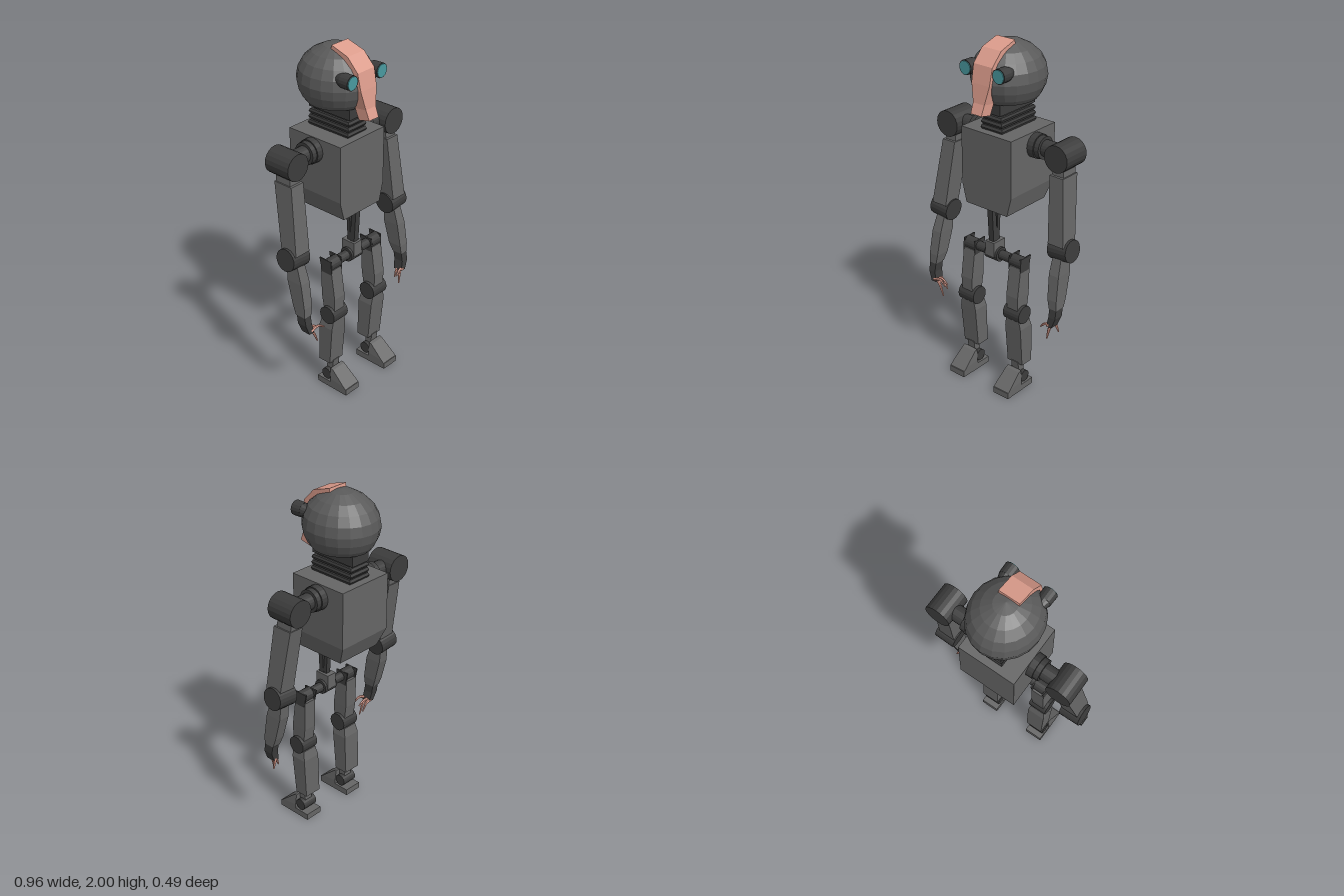
import * as THREE from 'three';

const LIMB = 0x666666, DARK = 0x3c3c3c, HEAD = 0x5a5a5a, PINK = 0xdc9c8c, TEAL = 0x4a9aa0;

export function createModel() {
  const root = new THREE.Group();
  root.name = 'robot';

  const add = (name, geo, color, parent = root) => {
    const mat = new THREE.MeshStandardMaterial({ color, flatShading: true });
    const mesh = new THREE.Mesh(geo, mat);
    mesh.name = name;
    parent.add(mesh);
    return mesh;
  };
  const group = (name) => {
    const g = new THREE.Group();
    g.name = name;
    root.add(g);
    return g;
  };
  const box = (name, w, h, d, x, y, z, color, parent) => {
    const m = add(name, new THREE.BoxGeometry(w, h, d), color, parent);
    m.position.set(x, y, z);
    return m;
  };
  // cylinder lying along the x, y or z axis
  const cyl = (name, r, len, axis, x, y, z, color, parent, sides = 20, r2 = r) => {
    const m = add(name, new THREE.CylinderGeometry(r, r2, len, sides), color, parent);
    if (axis === 'x') m.rotation.z = Math.PI / 2;
    if (axis === 'z') m.rotation.x = Math.PI / 2;
    m.position.set(x, y, z);
    return m;
  };
  // box skinned over sections, lowest first: [centre x, width, front y, front z, back y, back z]
  const skin = (name, sections, color, parent) => {
    const n = sections.length - 1;
    const geo = new THREE.BoxGeometry(1, 1, 1, 1, n, 1);
    const p = geo.attributes.position;
    for (let i = 0; i < p.count; i++) {
      const [cx, w, yf, zf, yb, zb] = sections[Math.round((p.getY(i) + 0.5) * n)];
      const front = p.getZ(i) > 0;
      p.setXYZ(i, cx + p.getX(i) * w, front ? yf : yb, front ? zf : zb);
    }
    geo.computeVertexNormals();
    return add(name, geo, color, parent);
  };
  // same with level sections: [centre x, y, centre z, width, depth]
  const loft = (name, sections, color, parent) => skin(name,
    sections.map(([x, y, z, w, d]) => [x, w, y, z + d / 2, y, z - d / 2]), color, parent);

  // Head: faceted dome with a flat underside
  const head = group('head');
  const profile = [[0, 1.68], [0.15, 1.68], [0.168, 1.705], [0.188, 1.75], [0.197, 1.80],
    [0.188, 1.855], [0.163, 1.905], [0.12, 1.947], [0.062, 1.98], [0, 1.99]];
  const skull = add('skull', new THREE.LatheGeometry(
    profile.map(([r, y]) => new THREE.Vector2(r, y)), 20), HEAD, head);
  skull.scale.z = 1.09;
  skull.position.set(-0.003, 0, -0.026);

  // Face strip running over the crown and hanging below the chin
  skin('faceStrip', [
    [-0.003, 0.072, 1.645, 0.235, 1.63, 0.165],
    [-0.003, 0.076, 1.70, 0.213, 1.69, 0.14],
    [-0.003, 0.12, 1.80, 0.198, 1.80, 0.14],
    [-0.003, 0.126, 1.895, 0.178, 1.88, 0.12],
    [-0.003, 0.126, 1.966, 0.11, 1.93, 0.08],
    [-0.003, 0.122, 2.0, 0.0, 1.96, -0.005],
  ], PINK, head);

  // Eyes: tapered sockets with a coloured lens
  for (const x of [-0.115, 0.108]) {
    cyl('eyeSocket', 0.041, 0.06, 'z', x, 1.862, 0.157, DARK, head, 16, 0.039);
    cyl('eyeSocketBack', 0.039, 0.05, 'z', x, 1.862, 0.104, DARK, head, 16, 0.022);
    cyl('eyeLens', 0.036, 0.006, 'z', x, 1.862, 0.188, TEAL, head, 16);
  }

  // Neck: stacked rectangular bellows
  const neck = group('neck');
  box('neckCore', 0.10, 0.17, 0.23, 0, 1.60, -0.02, DARK, neck);
  box('neckCollar', 0.12, 0.065, 0.285, 0, 1.65, -0.022, DARK, neck);
  for (let i = 0; i < 3; i++) {
    const y = 1.594 - i * 0.031;
    loft('neckRing', [[0, y - 0.013, -0.02, 0.125 + i * 0.006, 0.27],
      [0, y, -0.02, 0.134 + i * 0.006, 0.285],
      [0, y + 0.013, -0.02, 0.125 + i * 0.006, 0.27]], DARK, neck);
  }

  // Torso tapers at the bottom on the sides and back
  loft('torso', [[-0.003, 1.085, 0.003, 0.285, 0.315], [-0.003, 1.195, -0.02, 0.343, 0.36],
    [-0.003, 1.52, -0.02, 0.343, 0.36]], LIMB);

  // Spine: an upright rod and a leaning one behind it
  const spine = group('spine');
  loft('spineRod', [[-0.003, 0.85, 0.105, 0.035, 0.03], [-0.003, 1.1, 0.12, 0.035, 0.03]], DARK, spine);
  loft('spineBrace', [[-0.003, 0.85, 0.085, 0.03, 0.022], [-0.003, 1.1, 0.07, 0.03, 0.022]], DARK, spine);

  // Pelvis: axle through a central block
  const pelvis = group('pelvis');
  const hipZ = 0.09, hipY = 0.797;
  box('pelvisBlock', 0.062, 0.085, 0.09, -0.003, 0.835, hipZ, LIMB, pelvis);
  cyl('hipAxle', 0.027, 0.40, 'x', -0.003, hipY, hipZ, DARK, pelvis, 16);
  cyl('pelvisHub', 0.042, 0.09, 'x', -0.003, hipY, hipZ, DARK, pelvis, 16);

  const arm = (s, k, tips) => {
    const g = group(s > 0 ? 'leftArm' : 'rightArm');
    const y = 1.447, z = -0.03;
    // Shoulder
    cyl('shoulderFlange', 0.069, 0.04, 'x', s * 0.192, y, z, DARK, g);
    cyl('shoulderRing', 0.063, 0.03, 'x', s * 0.228, y, z, DARK, g);
    cyl('shoulderAxle', 0.046, 0.12, 'x', s * 0.285, y, z, DARK, g);
    cyl('shoulderDrum', 0.075, 0.163, 'z', s * 0.376, y, -0.025, DARK, g);
    // Upper arm
    loft('upperArmNeck', [[s * 0.377, 1.32, -0.015, 0.075, 0.10],
      [s * 0.373, 1.40, -0.022, 0.07, 0.10]], LIMB, g);
    loft('upperArm', [[s * 0.406, 0.97, 0.03 + k, 0.10, 0.105],
      [s * 0.376, 1.345, -0.013, 0.088, 0.12]], LIMB, g);
    // Elbow
    const elbow = cyl('elbow', 0.064, 0.122, 'x', s * 0.413, 0.932, 0.02 + k, DARK, g);
    elbow.rotation.z += s * 0.08;
    // Forearm and wrist
    loft('forearm', [[s * 0.424, 0.605, 0.085 + 1.5 * k, 0.05, 0.065],
      [s * 0.418, 0.66, 0.075 + 1.4 * k, 0.06, 0.085],
      [s * 0.412, 0.80, 0.048 + 1.2 * k, 0.064, 0.10],
      [s * 0.408, 0.90, 0.03 + k, 0.055, 0.075]], LIMB, g);
    loft('wrist', [[s * 0.408, 0.495, 0.10 + 1.6 * k, 0.035, 0.055],
      [s * 0.425, 0.555, 0.095 + 1.5 * k, 0.045, 0.06],
      [s * 0.424, 0.615, 0.085 + 1.5 * k, 0.045, 0.058]], DARK, g);
    // Fingers: bowed tubes tapering to the tip
    tips.forEach(([tx, ty, tz, bow], i) => {
      const a = new THREE.Vector3(s * 0.408, 0.505, 0.12 + 1.6 * k - i * 0.014);
      const b = new THREE.Vector3(s * tx, ty, tz);
      const m = a.clone().lerp(b, 0.5);
      m.y += bow;
      const curve = new THREE.CatmullRomCurve3([a, m, b]);
      const geo = new THREE.TubeGeometry(curve, 6, 0.011, 6);
      const p = geo.attributes.position, v = new THREE.Vector3();
      for (let j = 0; j < p.count; j++) {
        const u = Math.floor(j / 7) / 6, c = curve.getPointAt(u);
        v.fromBufferAttribute(p, j).sub(c).multiplyScalar(1 - 0.65 * u).add(c);
        p.setXYZ(j, v.x, v.y, v.z);
      }
      add('finger', geo, PINK, g).material.side = THREE.DoubleSide;
    });
  };
  arm(1, 0, [[0.352, 0.478, 0.125, 0.014], [0.387, 0.41, 0.115, 0.012],
    [0.378, 0.445, 0.09, 0.015], [0.432, 0.45, 0.07, 0.004]]);
  arm(-1, 0.024, [[0.315, 0.495, 0.17, 0.02], [0.35, 0.41, 0.15, 0.02],
    [0.328, 0.485, 0.135, 0.012], [0.345, 0.445, 0.12, 0.018]]);

  const leg = (s) => {
    const g = group(s > 0 ? 'leftLeg' : 'rightLeg');
    const x = s * 0.166;
    // Hip bracket and thigh
    for (const dx of [-0.04, 0.037]) {
      loft('hipPlate', [[x + s * dx, 0.75, hipZ, 0.008, 0.07],
        [x + s * dx, 0.832, hipZ - 0.01, 0.008, 0.085]], DARK, g);
    }
    cyl('hipJoint', 0.036, 0.074, 'x', x, hipY, hipZ, DARK, g, 16);
    loft('thigh', [[x, 0.51, 0.105, 0.075, 0.08], [x, 0.60, 0.10, 0.08, 0.095],
      [x, 0.775, 0.085, 0.08, 0.075]], LIMB, g);
    // Knee
    cyl('knee', 0.053, 0.112, 'x', x, 0.487, 0.105, DARK, g);
    // Shin
    loft('shin', [[x - s * 0.002, 0.16, 0.077, 0.105, 0.082], [x, 0.40, 0.092, 0.11, 0.095],
      [x, 0.455, 0.10, 0.09, 0.085]], LIMB, g);
    // Ankle and foot
    loft('ankleLink', [[x, 0.07, 0.09, 0.05, 0.04], [x, 0.17, 0.10, 0.05, 0.045]], LIMB, g);
    cyl('ankle', 0.034, 0.095, 'x', x, 0.075, 0.09, DARK, g);
    box('sole', 0.108, 0.037, 0.215, x, 0.0185, 0.137, LIMB, g);
    skin('instep', [[x, 0.108, 0.035, 0.243, 0.035, 0.125],
      [x, 0.108, 0.05, 0.225, 0.06, 0.125],
      [x, 0.095, 0.122, 0.14, 0.128, 0.122]], LIMB, g);
  };
  leg(1);
  leg(-1);

  return root;
}
